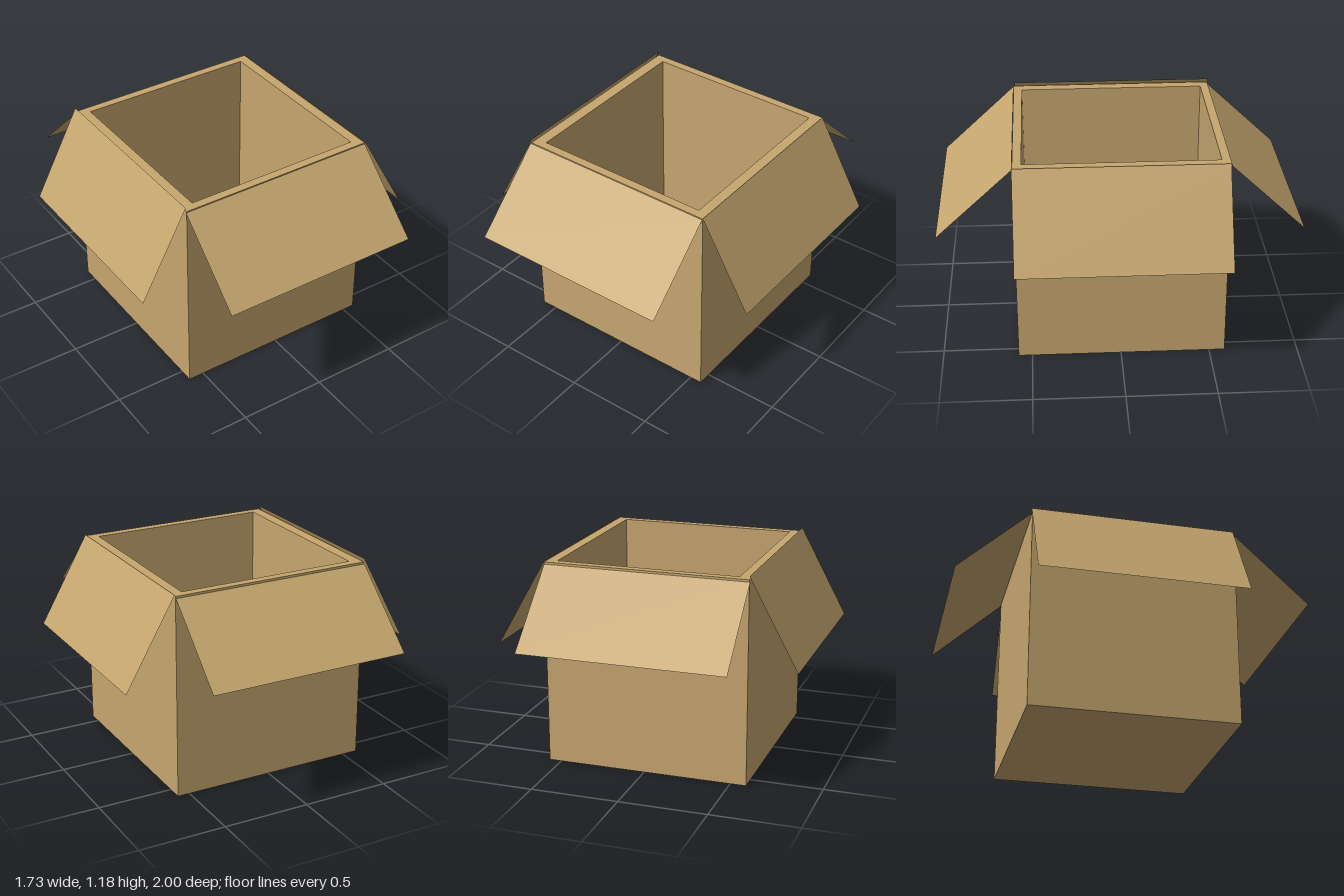
import * as THREE from 'three';

const cardboard = new THREE.MeshStandardMaterial({ color: 0xc6a66f, side: THREE.DoubleSide });
cardboard.name = 'cardboard';

// Flat-shaded surface from four-cornered faces, corners counter-clockwise from the front
function quads(name, faces) {
  const points = faces.flatMap(([a, b, c, d]) => [a, b, c, a, c, d]);
  const geometry = new THREE.BufferGeometry();
  geometry.setAttribute('position', new THREE.Float32BufferAttribute(points.flat(), 3));
  geometry.computeVertexNormals();
  const mesh = new THREE.Mesh(geometry, cardboard);
  mesh.name = name;
  return mesh;
}

// Horizontal rectangle of corners, counter-clockwise seen from above
const ring = (x0, x1, z0, z1, y) => [[x0, y, z1], [x1, y, z1], [x1, y, z0], [x0, y, z0]];

export function createModel() {
  const model = new THREE.Group();
  model.name = 'openBox';

  const x0 = -0.59, x1 = 0.57, z0 = -0.588, z1 = 0.577, top = 1.162;

  // Body: up the outside, across the rim, down the inside, closed by base and floor
  const rings = [
    ring(x0, x1, z0, z1, 0),
    ring(x0, x1, z0, z1, top),
    ring(-0.525, 0.51, -0.54, 0.528, top),
    ring(-0.525, 0.51, -0.54, 0.528, 0.05),
  ];
  const faces = [[...rings[0]].reverse(), rings[3]];
  for (let r = 0; r < 3; r++) {
    for (let i = 0; i < 4; i++) {
      const j = (i + 1) % 4;
      faces.push([rings[r][i], rings[r][j], rings[r + 1][j], rings[r + 1][i]]);
    }
  }
  model.add(quads('body', faces));

  // Flaps: thin sheets folded outward from the rim, each slightly uneven
  const flapZ = (name, a, b, y, z, endY, endZ) =>
    model.add(quads(name, [[[a, endY, endZ], [b, endY, endZ], [b, y, z], [a, y, z]]]));
  const flapX = (name, a, b, y, x, endY, endX) =>
    model.add(quads(name, [[[endX, endY, a], [endX, endY, b], [x, y, b], [x, y, a]]]));
  flapZ('frontFlap', -0.595, 0.568, 1.157, 0.579, 0.765, 1.0);
  flapZ('backFlap', 0.568, -0.595, 1.15, -0.59, 0.765, -1.0);
  flapX('leftFlap', 0.58, -0.583, 1.167, 0.572, 0.665, 0.86);
  flapX('rightFlap', -0.593, 0.572, 1.182, -0.592, 0.675, -0.865);

  return model;
}
